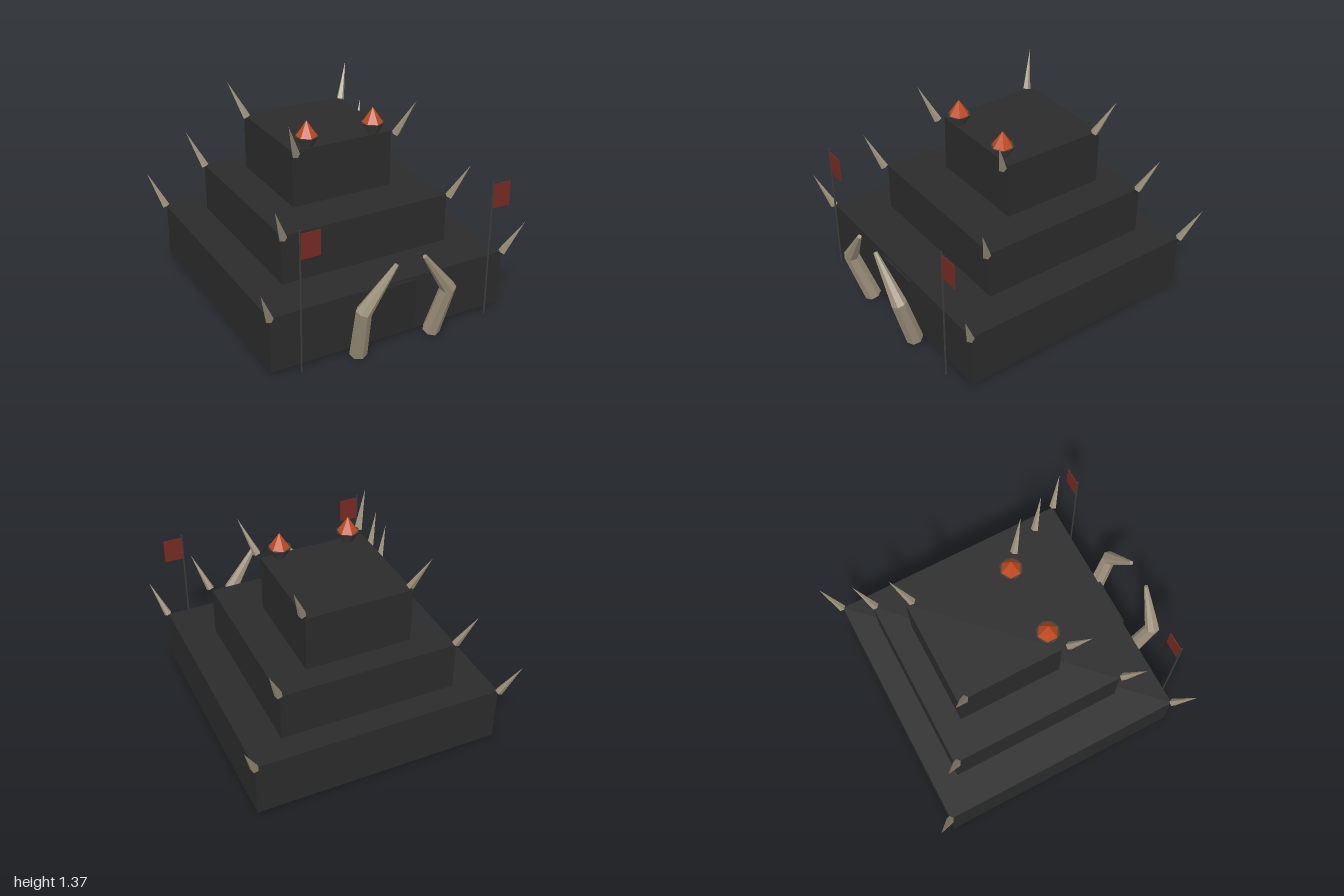
import * as THREE from 'three';

const mat = (name, color, extra = {}) => {
  const m = new THREE.MeshStandardMaterial({ color, flatShading: true, ...extra });
  m.name = name;
  return m;
};

// Tapered horn: rings of given radius along a list of points, capped at both ends
function hornGeometry(points, radii, sides) {
  const pos = [], index = [];
  points.forEach((p, i) => {
    const t = new THREE.Vector3();
    if (i > 0) t.add(p.clone().sub(points[i - 1]).normalize());
    if (i < points.length - 1) t.add(points[i + 1].clone().sub(p).normalize());
    t.normalize();
    const u = new THREE.Vector3(0, 0, 1).addScaledVector(t, -t.z).normalize();
    const v = new THREE.Vector3().crossVectors(t, u);
    for (let k = 0; k < sides; k++) {
      const a = (k / sides) * Math.PI * 2;
      const q = p.clone().addScaledVector(u, Math.cos(a) * radii[i]).addScaledVector(v, Math.sin(a) * radii[i]);
      pos.push(q.x, q.y, q.z);
    }
  });
  for (let i = 0; i < points.length - 1; i++) {
    for (let k = 0; k < sides; k++) {
      const a = i * sides + k, b = i * sides + (k + 1) % sides;
      index.push(a, b, b + sides, a, b + sides, a + sides);
    }
  }
  const last = (points.length - 1) * sides;
  for (let k = 1; k < sides - 1; k++) {
    index.push(0, k + 1, k, last, last + k, last + k + 1);
  }
  const g = new THREE.BufferGeometry();
  g.setAttribute('position', new THREE.Float32BufferAttribute(pos, 3));
  g.setIndex(index);
  g.computeVertexNormals();
  return g;
}

export function createModel() {
  const group = new THREE.Group();
  group.name = 'fortress';
  const stone = mat('dark stone', 0x2b2b2b);
  const doorMat = mat('door', 0x292929);
  const bone = mat('bone', 0x9c907a);
  const iron = mat('iron', 0x3c3c3a);
  const ember = mat('ember', 0xc04a1e);
  const cloth = mat('red cloth', 0x762a22, { side: THREE.DoubleSide });

  const add = (name, geometry, material, x = 0, y = 0, z = 0) => {
    const m = new THREE.Mesh(geometry, material);
    m.name = name;
    m.position.set(x, y, z);
    group.add(m);
    return m;
  };

  // Stepped tiers, each with four corner spikes leaning outwards
  const tiers = [
    { half: 0.842, y0: 0.025, y1: 0.408, z: -0.059, spikeX: 0.845, front: 0.79, back: -0.907 },
    { half: 0.602, y0: 0.408, y1: 0.745, z: -0.129, spikeX: 0.605, front: 0.5, back: -0.715 },
    { half: 0.361, y0: 0.745, y1: 1.13, z: -0.203, spikeX: 0.362, front: 0.21, back: -0.52 },
  ];
  const up = new THREE.Vector3(0, 1, 0);
  tiers.forEach((t, i) => {
    add(`tier${i + 1}`, new THREE.BoxGeometry(t.half * 2, t.y1 - t.y0, t.half * 2), stone,
      0, (t.y0 + t.y1) / 2, t.z);
    for (const sx of [-1, 1]) {
      for (const sz of [-1, 1]) {
        const lean = new THREE.Vector3(sx * 0.092, 0.238, sz * 0.093);
        const geo = new THREE.ConeGeometry(0.027, lean.length(), 5);
        geo.translate(0, lean.length() / 2, 0);
        const spike = add('cornerSpike', geo, bone, sx * t.spikeX, t.y1, sz > 0 ? t.front : t.back);
        spike.quaternion.setFromUnitVectors(up, lean.normalize());
      }
    }
  });

  // Door slab
  add('door', new THREE.BoxGeometry(0.34, 0.358, 0.03), doorMat, 0, 0.216, 0.788);

  for (const s of [-1, 1]) {
    // Bent tusk beside the door
    const path = [[0.27, 0.017, 0.84], [0.303, 0.385, 0.955], [0.098, 0.67, 0.984]]
      .map(([x, y, z]) => new THREE.Vector3(s * x, y, z));
    add('gateTusk', hornGeometry(path, [0.058, 0.052, 0.014], 7), bone);

    // Brazier bowl with a pointed flame
    add('brazierBowl', new THREE.CylinderGeometry(0.077, 0.036, 0.075, 8), iron, s * 0.241, 1.166, 0.122);
    add('flame', new THREE.ConeGeometry(0.069, 0.103, 6), ember, s * 0.241, 1.255, 0.122);

    // Flagpole and banner, both banners flying towards +x
    add('flagPole', new THREE.CylinderGeometry(0.006, 0.006, 0.96, 6), iron, s * 0.674, 0.505, 0.862);
    add('banner', new THREE.BoxGeometry(0.13, 0.166, 0.005), cloth, s * 0.674 + 0.068, 0.878, 0.862);
  }
  return group;
}
